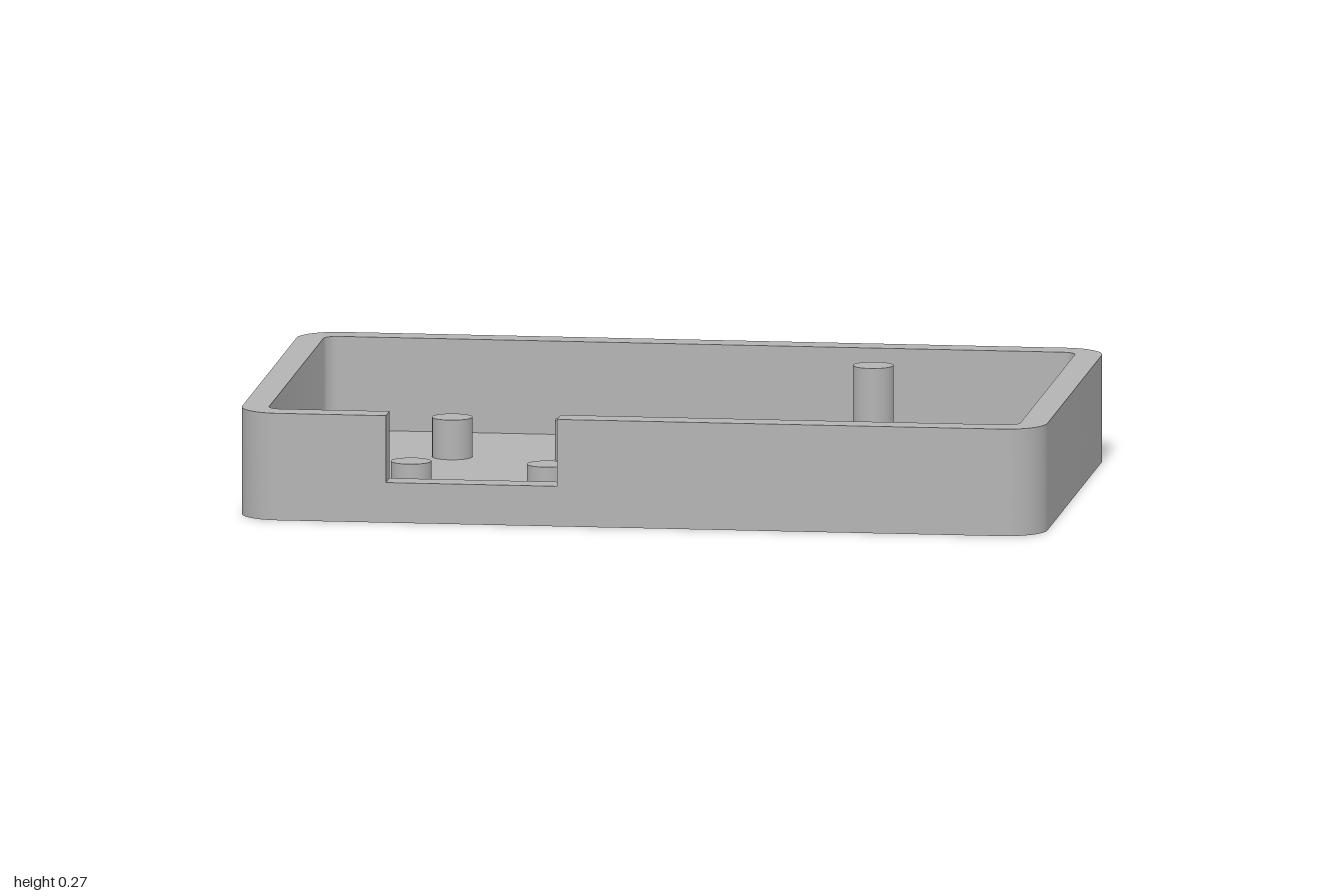
import * as THREE from 'three';
import { toCreasedNormals } from 'three/addons/utils/BufferGeometryUtils.js';

const W = 1, D = 0.611, H = 0.267;        // outer half width, half depth, height
const WALL = 0.067, FLOOR = 0.034;        // wall and floor thickness
const R_OUT = 0.1, R_IN = 0.033;          // corner radii
const NOTCH = { x0: -0.63, x1: -0.205, y: 0.1 };

// Rounded rectangle, counter-clockwise, starting and ending on the front edge.
function outline(path, w, d, r, startX, endX) {
  path.moveTo(startX, -d);
  path.lineTo(w - r, -d);
  path.absarc(w - r, -d + r, r, -Math.PI / 2, 0);
  path.absarc(w - r, d - r, r, 0, Math.PI / 2);
  path.absarc(-w + r, d - r, r, Math.PI / 2, Math.PI);
  path.absarc(-w + r, -d + r, r, Math.PI, Math.PI * 1.5);
  path.lineTo(endX, -d);
  return path;
}

// Extrude a plan shape upwards from y0 to y1.
function slab(shape, y0, y1) {
  const g = new THREE.ExtrudeGeometry(shape, { depth: y1 - y0, bevelEnabled: false, curveSegments: 12 });
  g.rotateX(-Math.PI / 2);
  g.translate(0, y0, 0);
  return toCreasedNormals(g, 0.5);
}

export function createModel() {
  const model = new THREE.Group();
  model.name = 'enclosureTray';
  const grey = new THREE.MeshStandardMaterial({ color: 0xb3b3b3 });
  grey.name = 'plainGrey';

  const add = (name, geometry, parent = model) => {
    const mesh = new THREE.Mesh(geometry, grey);
    mesh.name = name;
    parent.add(mesh);
    return mesh;
  };

  // Floor plate
  add('floor', slab(outline(new THREE.Shape(), W, D, R_OUT, 0, 0), 0, FLOOR));

  // Closed wall ring up to the sill of the notch
  const ring = outline(new THREE.Shape(), W, D, R_OUT, 0, 0);
  ring.holes.push(outline(new THREE.Path(), W - WALL, D - WALL, R_IN, 0, 0));
  add('lowerWall', slab(ring, FLOOR, NOTCH.y));

  // Upper wall, open at the notch in the front
  const { x0, x1 } = NOTCH;
  const inner = outline(new THREE.Path(), W - WALL, D - WALL, R_IN, x1, x0).getPoints(12).reverse();
  const open = outline(new THREE.Shape(), W, D, R_OUT, x1, x0);
  inner.forEach((p) => open.lineTo(p.x, p.y));
  open.closePath();
  add('upperWall', slab(open, NOTCH.y, H));

  // Standing posts: x, z, top height
  const posts = new THREE.Group();
  posts.name = 'posts';
  model.add(posts);
  const SHORT = 0.133;
  [
    ['backRightPost', -0.57, -0.185, SHORT],
    ['backMiddlePost', -0.265, -0.185, SHORT],
    ['frontRightPost', -0.585, 0.478, SHORT],
    ['frontMiddlePost', -0.247, 0.478, SHORT],
    ['tallPost', 0.46, -0.303, 0.265],
  ].forEach(([name, x, z, top]) => {
    const height = top - FLOOR;
    add(name, new THREE.CylinderGeometry(0.05, 0.05, height, 32), posts)
      .position.set(x, FLOOR + height / 2, z);
  });

  return model;
}
